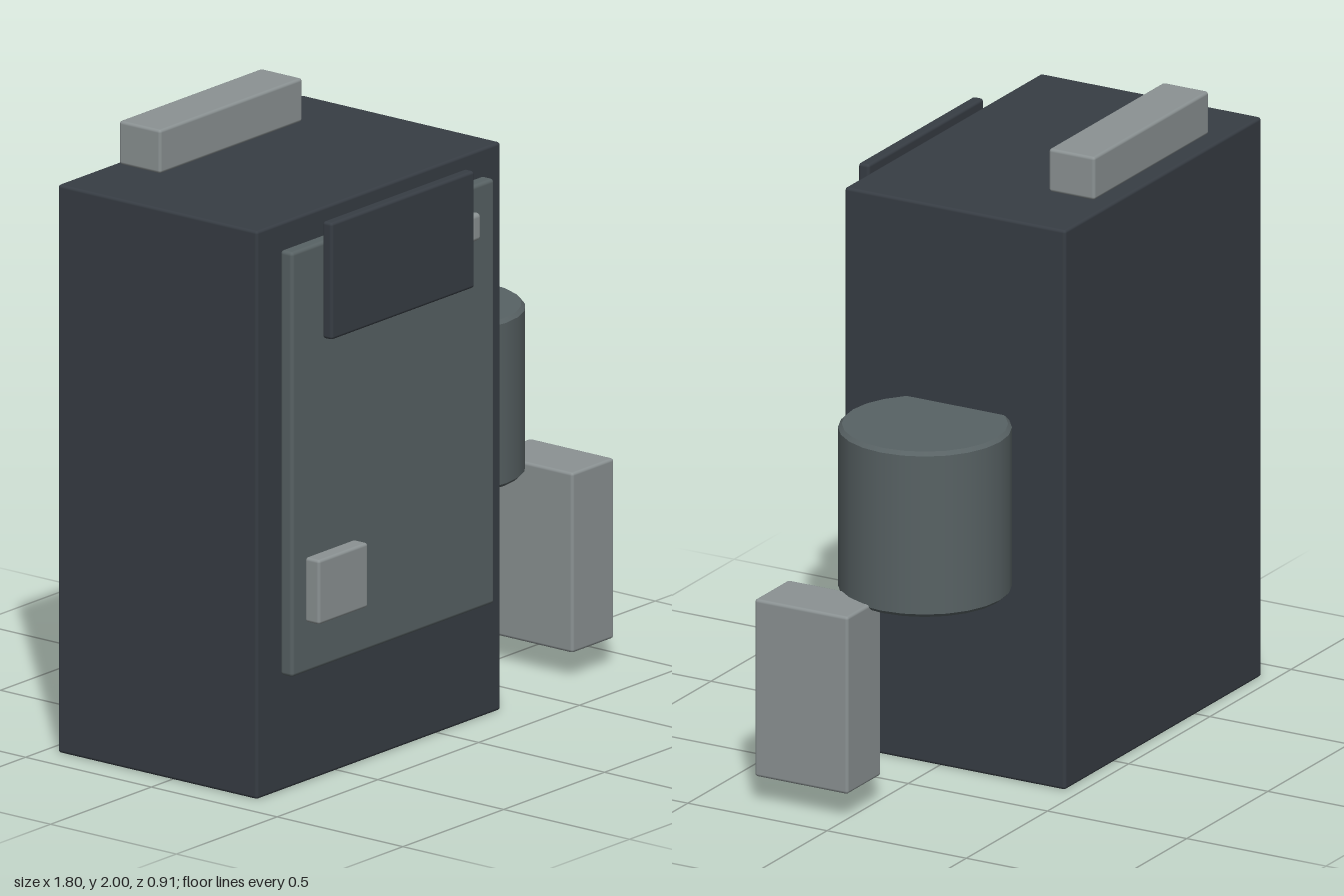
import * as THREE from 'three';
import { RoundedBoxGeometry } from 'three/addons/geometries/RoundedBoxGeometry.js';

function material(name, color) {
  const m = new THREE.MeshStandardMaterial({ color });
  m.name = name;
  return m;
}

export function createModel() {
  const model = new THREE.Group();
  model.name = 'cabinet';
  const dark = material('dark slate', 0x373d44);
  const mid = material('grey green', 0x586264);
  const light = material('light grey', 0x8b9293);

  // Box with softened edges, given by its extents on each axis
  function box(name, mat, [x0, x1], [y0, y1], [z0, z1], radius = 0.01) {
    const geometry = new RoundedBoxGeometry(x1 - x0, y1 - y0, z1 - z0, 2, radius);
    const mesh = new THREE.Mesh(geometry, mat);
    mesh.name = name;
    mesh.position.set((x0 + x1) / 2, (y0 + y1) / 2, (z0 + z1) / 2);
    model.add(mesh);
  }

  // Main cabinet and the bar above it
  box('body', dark, [-0.9, 0.31], [0, 1.845], [-0.453, 0.34]);
  box('topBar', light, [-0.65, 0.057], [1.858, 2], [-0.41, -0.245]);

  // Front panel with its fittings
  box('frontPanel', mid, [-0.8, 0.205], [0.383, 1.763], [0.35, 0.4], 0.012);
  box('screen', dark, [-0.65, 0.06], [1.45, 1.83], [0.398, 0.437]);
  box('knob', light, [0.05, 0.097], [1.595, 1.685], [0.4, 0.435], 0.014);
  box('lowerButton', light, [-0.733, -0.488], [0.548, 0.758], [0.395, 0.453]);

  // Side box
  box('sideBox', light, [0.688, 0.896], [0.088, 0.673], [-0.013, 0.322]);

  // Side drum with a small bevel at both rims
  const r = 0.27, h = 0.545, b = 0.012;
  const profile = [
    [0, 0], [r - b, 0], [r - b, 0], [r, b], [r, b],
    [r, h - b], [r, h - b], [r - b, h], [r - b, h], [0, h],
  ];
  // Separate bands keep the caps flat and the wall smooth
  const drum = new THREE.Group();
  drum.name = 'sideDrum';
  const bands = ['drumBase', 'drumLowerRim', 'drumWall', 'drumUpperRim', 'drumTop'];
  bands.forEach((name, i) => {
    const points = profile.slice(i * 2, i * 2 + 2).map(([x, y]) => new THREE.Vector2(x, y));
    const band = new THREE.Mesh(new THREE.LatheGeometry(points, 24), mid);
    band.name = name;
    drum.add(band);
  });
  drum.position.set(0.5, 0.653, -0.06);
  model.add(drum);

  return model;
}
